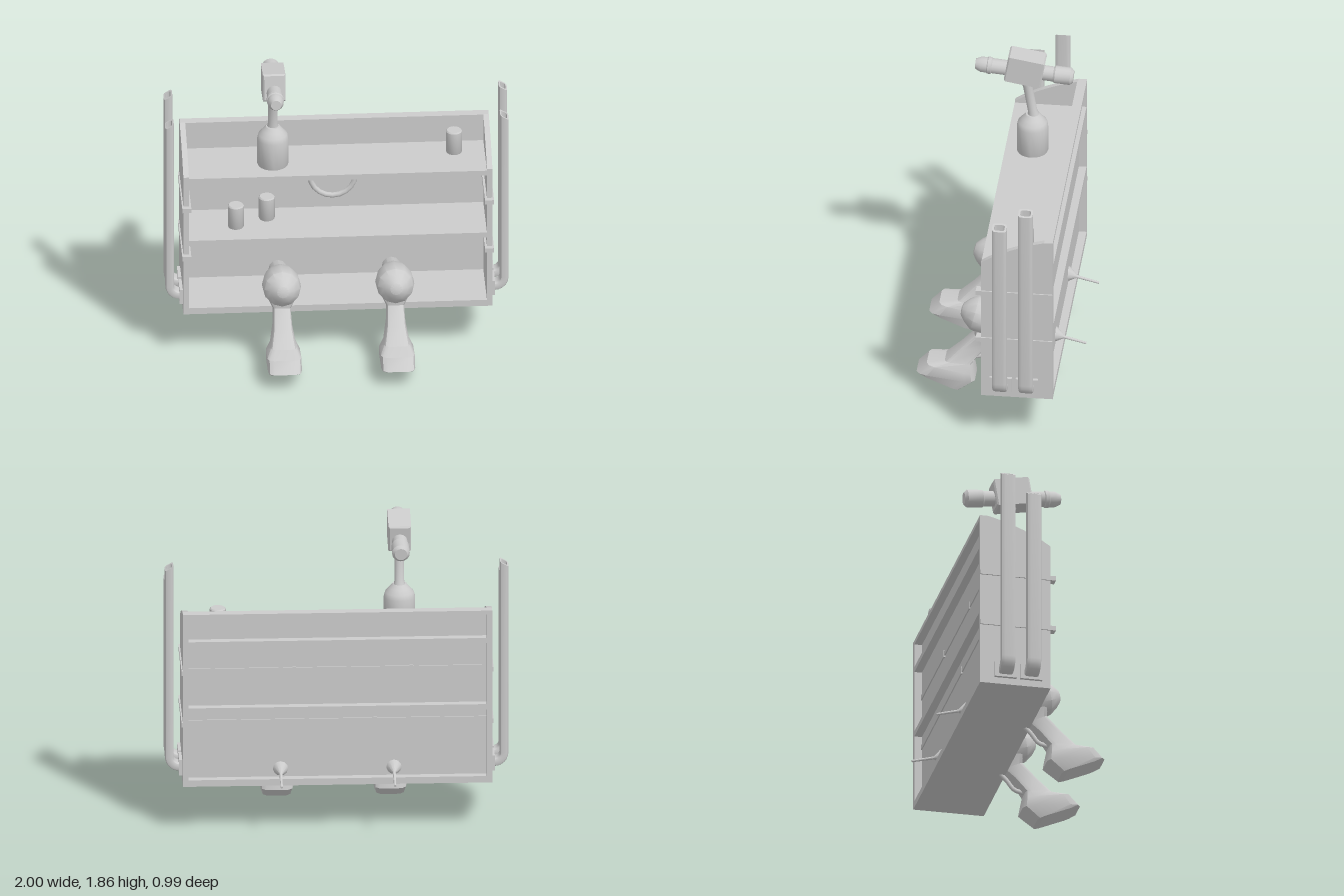
import * as THREE from 'three';
import { toCreasedNormals } from 'three/addons/utils/BufferGeometryUtils.js';

const mat = new THREE.MeshStandardMaterial({ color: 0xcccccc, side: THREE.DoubleSide });

function add(parent, name, geo, x = 0, y = 0, z = 0) {
  const m = new THREE.Mesh(geo, mat);
  m.name = name;
  m.position.set(x, y, z);
  parent.add(m);
  return m;
}

// box given by its limits on each axis
function slab(parent, name, x0, x1, y0, y1, z0, z1) {
  return add(parent, name, new THREE.BoxGeometry(x1 - x0, y1 - y0, z1 - z0),
    (x0 + x1) / 2, (y0 + y1) / 2, (z0 + z1) / 2);
}

function lathe(points, sides = 20, crease = 0.6) {
  const pts = points.map(([r, y]) => new THREE.Vector2(r, y));
  return toCreasedNormals(new THREE.LatheGeometry(pts, sides), crease);
}

// skin over equal loops of points, closed at both ends
function loft(loops, crease = 0.6) {
  const n = loops[0].length, pos = [], idx = [];
  loops.forEach(l => l.forEach(p => pos.push(p.x, p.y, p.z)));
  for (let i = 0; i < loops.length - 1; i++) {
    for (let j = 0; j < n; j++) {
      const a = i * n + j, b = i * n + (j + 1) % n;
      idx.push(a, b, b + n, a, b + n, a + n);
    }
  }
  const last = (loops.length - 1) * n;
  for (let j = 1; j < n - 1; j++) {
    idx.push(0, j + 1, j, last, last + j, last + j + 1);
  }
  const g = new THREE.BufferGeometry();
  g.setAttribute('position', new THREE.Float32BufferAttribute(pos, 3));
  g.setIndex(idx);
  return toCreasedNormals(g, crease);
}

// rounded rectangle spanned by half-axes u and v
function ring(c, u, v, n, power) {
  return Array.from({ length: n }, (_, i) => {
    const a = ((i + 0.5) / n) * Math.PI * 2;
    const f = t => Math.sign(t) * Math.abs(t) ** power;
    return c.clone().addScaledVector(u, f(Math.cos(a))).addScaledVector(v, f(Math.sin(a)));
  });
}

// hollow flat pipe: out of the side, round the bend and up, then down inside
function pipeGeometry(height) {
  const path = [[0.89, 0.38, 1, 0], [0.915, 0.38, 1, 0]];
  for (let i = 1; i <= 6; i++) {
    const a = (i / 6) * Math.PI / 2;
    path.push([0.915 + 0.06 * Math.sin(a), 0.44 - 0.06 * Math.cos(a), Math.cos(a), Math.sin(a)]);
  }
  const section = (x, y, tx, ty, s, t) => ring(new THREE.Vector3(x, y, 0),
    new THREE.Vector3(0, 0, s), new THREE.Vector3(ty * t, -tx * t, 0), 16, 0.45);
  const loops = path.map(p => section(...p, 0.043, 0.025));
  const slant = l => l.map(p => p.setY(p.y - (p.x - 0.95) * 0.6));
  loops.push(slant(section(0.975, height, 0, 1, 0.043, 0.025)));
  loops.push(slant(section(0.975, height, 0, 1, 0.031, 0.016)));
  loops.push(section(0.975, 0.5, 0, 1, 0.031, 0.016));
  return loft(loops);
}

function makeDrill() {
  const g = new THREE.Group();
  g.name = 'drill';
  // motor housing, chuck and bit on one sloping axis
  const body = add(g, 'drillBody', lathe([[0, 0], [0.035, 0.005], [0.07, 0.035], [0.104, 0.08],
    [0.112, 0.13], [0.112, 0.2], [0.095, 0.3], [0.065, 0.37], [0.055, 0.4], [0.055, 0.54],
    [0.045, 0.57], [0.009, 0.62], [0.007, 0.755], [0, 0.755]], 12), 0, 0.525, 0.238);
  body.rotation.x = -Math.PI / 2 - 0.25;
  // grip and battery: front z, y, back z, y, half width
  const rows = [[0.475, 0.108, 0.238, 0.007, 0.09], [0.495, 0.118, 0.15, 0.075, 0.1],
    [0.435, 0.18, 0.16, 0.13, 0.1], [0.33, 0.195, 0.17, 0.185, 0.075],
    [0.245, 0.28, 0.105, 0.27, 0.056], [0.158, 0.375, 0.045, 0.32, 0.051],
    [0.158, 0.42, 0.01, 0.38, 0.075], [0.17, 0.48, 0, 0.44, 0.085]];
  add(g, 'gripAndBattery', loft(rows.map(([zf, yf, zb, yb, w]) => ring(
    new THREE.Vector3(0, (yf + yb) / 2, (zf + zb) / 2),
    new THREE.Vector3(0, (yf - yb) / 2, (zf - zb) / 2),
    new THREE.Vector3(w, 0, 0), 12, 0.35))));
  // trigger guard
  const curve = new THREE.CatmullRomCurve3([[0.17, 0.2], [0.115, 0.215], [0.07, 0.27], [0.0, 0.34]]
    .map(([z, y]) => new THREE.Vector3(0, y, z)));
  add(g, 'triggerGuard', new THREE.TubeGeometry(curve, 10, 0.013, 6));
  return g;
}

export function createModel() {
  const model = new THREE.Group();
  model.name = 'toolShelf';

  // cabinet
  const cabinet = new THREE.Group();
  cabinet.name = 'cabinet';
  model.add(cabinet);
  const outline = new THREE.Shape();
  outline.moveTo(-0.06, 0.3);
  outline.lineTo(0.36, 0.3);
  outline.lineTo(0.36, 1.37);
  outline.lineTo(0.31, 1.37);
  outline.quadraticCurveTo(0.08, 1.31, -0.06, 1.21);
  outline.closePath();
  for (const x of [-0.9, 0.868]) {
    const geo = new THREE.ExtrudeGeometry(outline, { depth: 0.032, bevelEnabled: false });
    geo.rotateY(Math.PI / 2);
    add(cabinet, 'sidePanel', geo, x);
  }
  slab(cabinet, 'bottomPanel', -0.87, 0.87, 0.3, 0.34, -0.36, 0.06);
  slab(cabinet, 'middleShelf', -0.87, 0.87, 0.755, 0.788, -0.36, 0.06);
  slab(cabinet, 'topShelf', -0.87, 0.87, 1.168, 1.2, -0.36, 0.06);
  slab(cabinet, 'backPanel', -0.87, 0.87, 0.32, 1.36, -0.315, -0.305);
  slab(cabinet, 'topLip', -0.87, 0.87, 1.345, 1.37, -0.36, -0.305);

  // straps along the back wall, wrapped round each side panel
  for (const y of [0.685, 1.005]) {
    const lo = y - 0.014, hi = y + 0.014;
    slab(cabinet, 'backStrap', -0.87, 0.87, lo, hi, -0.322, -0.29);
    for (const s of [-1, 1]) {
      const side = (a, b, z0, z1) => slab(cabinet, 'sideStrap',
        Math.min(s * a, s * b), Math.max(s * a, s * b), lo, hi, z0, z1);
      side(0.895, 0.908, -0.36, 0.09);
      side(0.855, 0.87, -0.31, 0.09);
      side(0.855, 0.908, 0.055, 0.09);
    }
  }
  for (const [x, y] of [[-0.43, 1.005], [0.25, 1.005], [-0.22, 0.685]]) {
    slab(cabinet, 'strapClip', x - 0.01, x + 0.01, y - 0.022, y + 0.022, -0.325, -0.28);
  }
  add(cabinet, 'wallRing', new THREE.TorusGeometry(0.132, 0.016, 8, 20), -0.01, 1.0, -0.297);

  // pipes on both sides
  for (const s of [1, -1]) {
    for (const [z, h] of [[-0.057, 1.52], [-0.21, 1.63]]) {
      const pipe = add(model, 'sidePipe', pipeGeometry(h), 0, 0, z);
      if (s < 0) pipe.rotation.y = Math.PI;
      const x = s * 0.907;
      slab(model, 'pipeFlange', x - 0.012, x + 0.012, 0.34, 0.435, z - 0.065, z + 0.065);
    }
  }

  // drills hung through the lower bay
  for (const x of [-0.33, 0.33]) {
    const drill = makeDrill();
    drill.position.x = x;
    model.add(drill);
  }

  // small cans on the shelves
  const can = lathe([[0, 0], [0.044, 0], [0.047, 0.006], [0.047, 0.138], [0.041, 0.145], [0, 0.145]], 16);
  for (const [x, y, z] of [[-0.585, 0.788, -0.1], [-0.4, 0.788, -0.19], [0.69, 1.2, -0.18]]) {
    add(model, 'can', can, x, y, z);
  }

  // standing tool: round base, leaning stem, cross head
  const tool = new THREE.Group();
  tool.name = 'standingTool';
  tool.position.x = -0.37;
  model.add(tool);
  add(tool, 'toolBase', lathe([[0, 0], [0.088, 0], [0.092, 0.01], [0.092, 0.17], [0.084, 0.2],
    [0.06, 0.225], [0.04, 0.25], [0, 0.25]], 20), 0, 1.2, -0.1);
  const stem = add(tool, 'toolStem', lathe([[0.038, -0.13], [0.028, -0.09], [0.028, 0.08],
    [0.036, 0.13]], 16), 0, 1.56, -0.085);
  stem.rotation.x = 0.17;
  const head = loft([[-0.109, 0.058, 0.074], [-0.1, 0.066, 0.083], [0.1, 0.066, 0.083],
    [0.109, 0.058, 0.074]].map(([z, w, h]) => [[-w, -h], [w, -h], [w, h], [-w, h]]
    .map(([x, y]) => new THREE.Vector3(x, y, z))), 0.3);
  add(tool, 'toolHead', head, 0, 1.766, -0.058).rotation.x = -0.17;
  const bar = add(tool, 'headBar', lathe([[0, -0.288], [0.036, -0.288], [0.052, -0.27],
    [0.052, -0.18], [0.045, -0.17], [0.045, 0.19], [0.051, 0.195], [0.051, 0.215], [0.046, 0.22],
    [0.046, 0.255], [0.03, 0.288], [0, 0.288]], 16), 0, 1.745, -0.053);
  bar.rotation.x = Math.PI / 2 - 0.09;

  return model;
}
